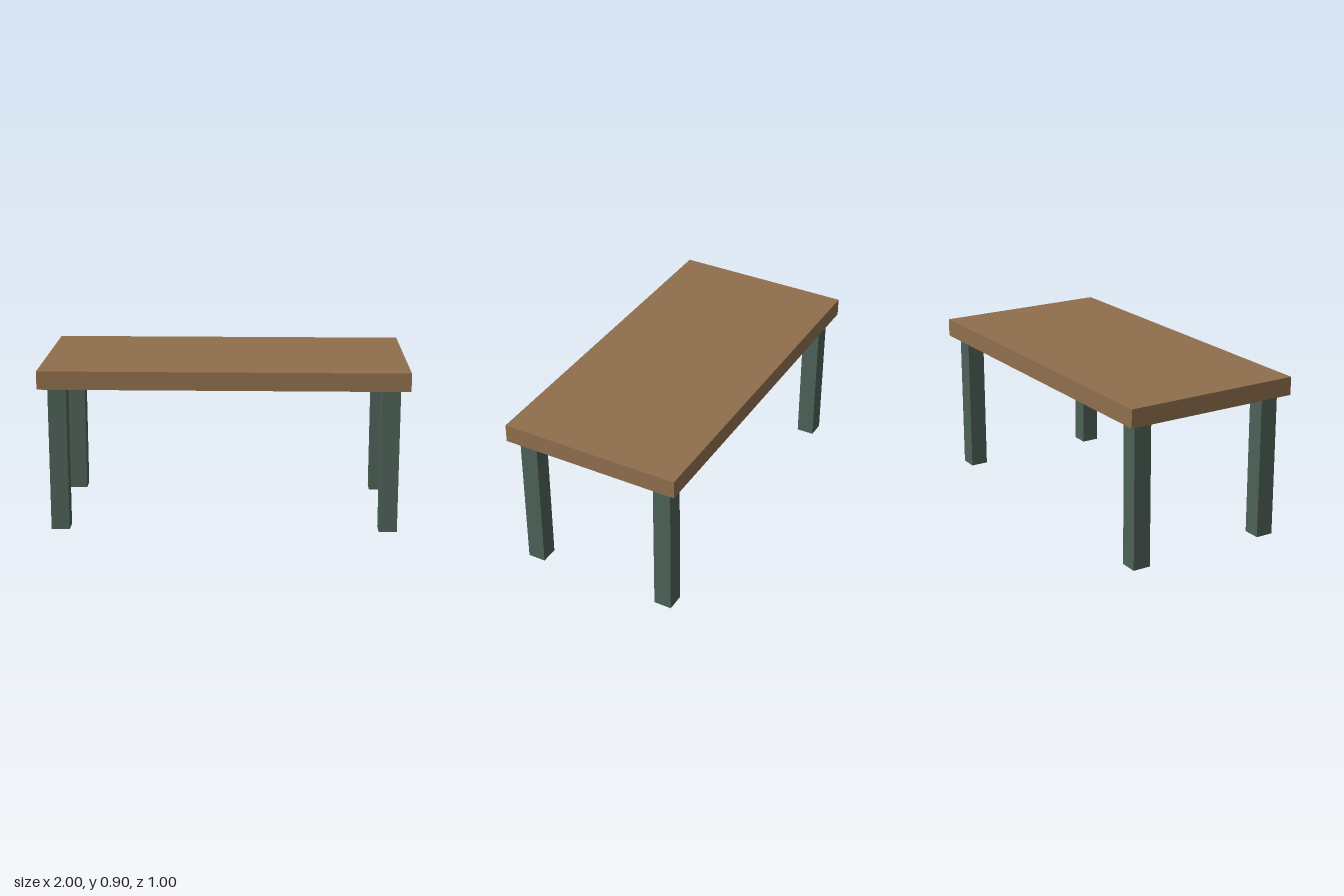
import * as THREE from 'three';

export function createModel() {
  const table = new THREE.Group();
  table.name = 'table';
  const wood = new THREE.MeshStandardMaterial({ color: 0x8f6f4e });
  const green = new THREE.MeshStandardMaterial({ color: 0x4c6156 });

  const addBox = (name, size, position, material) => {
    const mesh = new THREE.Mesh(new THREE.BoxGeometry(...size), material);
    mesh.name = name;
    mesh.position.set(...position);
    table.add(mesh);
  };

  // Slab top
  addBox('tableTop', [2, 0.1, 1], [0, 0.85, 0], wood);

  // Four square legs, set in slightly from the corners
  for (const [endZ, z] of [['front', 0.4], ['back', -0.4]]) {
    for (const [sideX, x] of [['Left', 0.9], ['Right', -0.9]]) {
      addBox(`${endZ}${sideX}Leg`, [0.1, 0.8, 0.1], [x, 0.4, z], green);
    }
  }

  return table;
}
